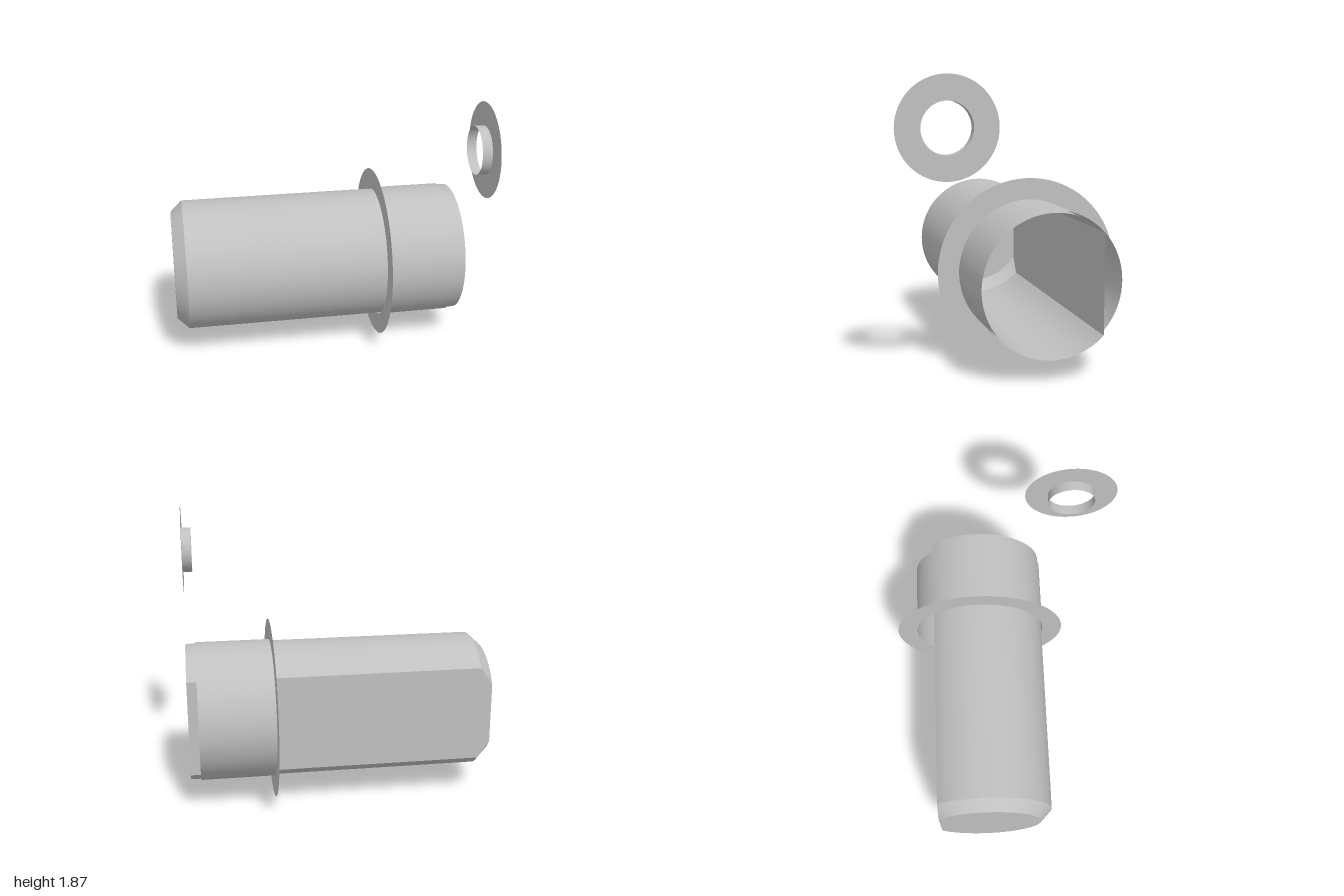
import * as THREE from 'three';

const AXIS_Y = 0.602, AXIS_Z = -0.18; // shaft axis runs along x
const R = 0.453, TIP_R = 0.377;       // shaft radius, chamfered tip radius
const FLAT = 0.32;                    // distance from axis to the flat
const CHAMFER_X = -0.92;

// Shaft radius at a given x, and the half chord of the flat there
const radiusAt = x => x >= CHAMFER_X ? R : THREE.MathUtils.mapLinear(x, -1, CHAMFER_X, TIP_R, R);
const halfChord = x => Math.sqrt(radiusAt(x) ** 2 - FLAT ** 2);
const arcEnd = r => Math.PI - Math.acos(FLAT / r);

// Grid surface given by a rule (u, v) -> [x, y, z]
function surface(nu, nv, rule) {
  const geo = new THREE.PlaneGeometry(1, 1, nu, nv);
  const { position, uv } = geo.attributes;
  for (let i = 0; i < position.count; i++) position.setXYZ(i, ...rule(uv.getX(i), uv.getY(i)));
  geo.computeVertexNormals();
  return geo;
}

// Part of the shaft's round wall, cut off where it meets the flat
function roundWall(x0, x1, rings) {
  return surface(96, rings, (u, v) => {
    const x = THREE.MathUtils.lerp(x0, x1, v), r = radiusAt(x);
    const t = (2 * u - 1) * arcEnd(r);
    return [x, r * Math.sin(t), r * Math.cos(t)];
  });
}

// The flat strip along the shaft's back
function flatStrip(x0, x1, rings) {
  return surface(1, rings, (u, v) => {
    const x = THREE.MathUtils.lerp(x0, x1, v);
    return [x, (2 * u - 1) * halfChord(x), -FLAT];
  });
}

export function createModel() {
  const model = new THREE.Group();
  const grey = new THREE.MeshStandardMaterial({ color: 0xc0c0c0, side: THREE.DoubleSide });
  grey.name = 'lightGrey';

  const add = (parent, name, geo) => {
    const mesh = new THREE.Mesh(geo, grey);
    mesh.name = name;
    parent.add(mesh);
  };
  const group = (name, y, z) => {
    const g = new THREE.Group();
    g.name = name;
    g.position.set(0, y, z);
    model.add(g);
    return g;
  };

  // Hollow shaft with a flat, closed at the chamfered end and open at the other
  const shaft = group('shaft', AXIS_Y, AXIS_Z);
  add(shaft, 'shaftBarrel', roundWall(1, CHAMFER_X, 1));
  add(shaft, 'shaftChamfer', roundWall(CHAMFER_X, -1, 6));
  add(shaft, 'shaftFlat', flatStrip(CHAMFER_X, 1, 1));
  add(shaft, 'shaftFlatTip', flatStrip(-1, CHAMFER_X, 6));
  const capShape = new THREE.Shape();
  capShape.absarc(0, 0, TIP_R, -arcEnd(TIP_R), arcEnd(TIP_R), false);
  add(shaft, 'shaftEndCap', new THREE.ShapeGeometry(capShape, 96).rotateY(-Math.PI / 2).translate(-1, 0, 0));

  // Thin tube from x0 to x1 with a flat flange at flangeX
  const flangedTube = (name, y, z, inner, outer, x0, x1, flangeX) => {
    const g = group(name, y, z);
    add(g, name + 'Tube', new THREE.CylinderGeometry(inner, inner, x1 - x0, 96, 1, true)
      .rotateZ(Math.PI / 2).translate((x0 + x1) / 2, 0, 0));
    const side = flangeX === x0 ? -1 : 1;
    add(g, name + 'Flange', new THREE.RingGeometry(inner, outer, 96)
      .rotateY(side * Math.PI / 2).translate(flangeX, 0, 0));
  };
  flangedTube('collar', AXIS_Y, AXIS_Z, 0.462, 0.602, 0.443, 0.935, 0.443);
  flangedTube('washer', 1.566, 0.473, 0.156, 0.308, 0.935, 1, 1);

  return model;
}
